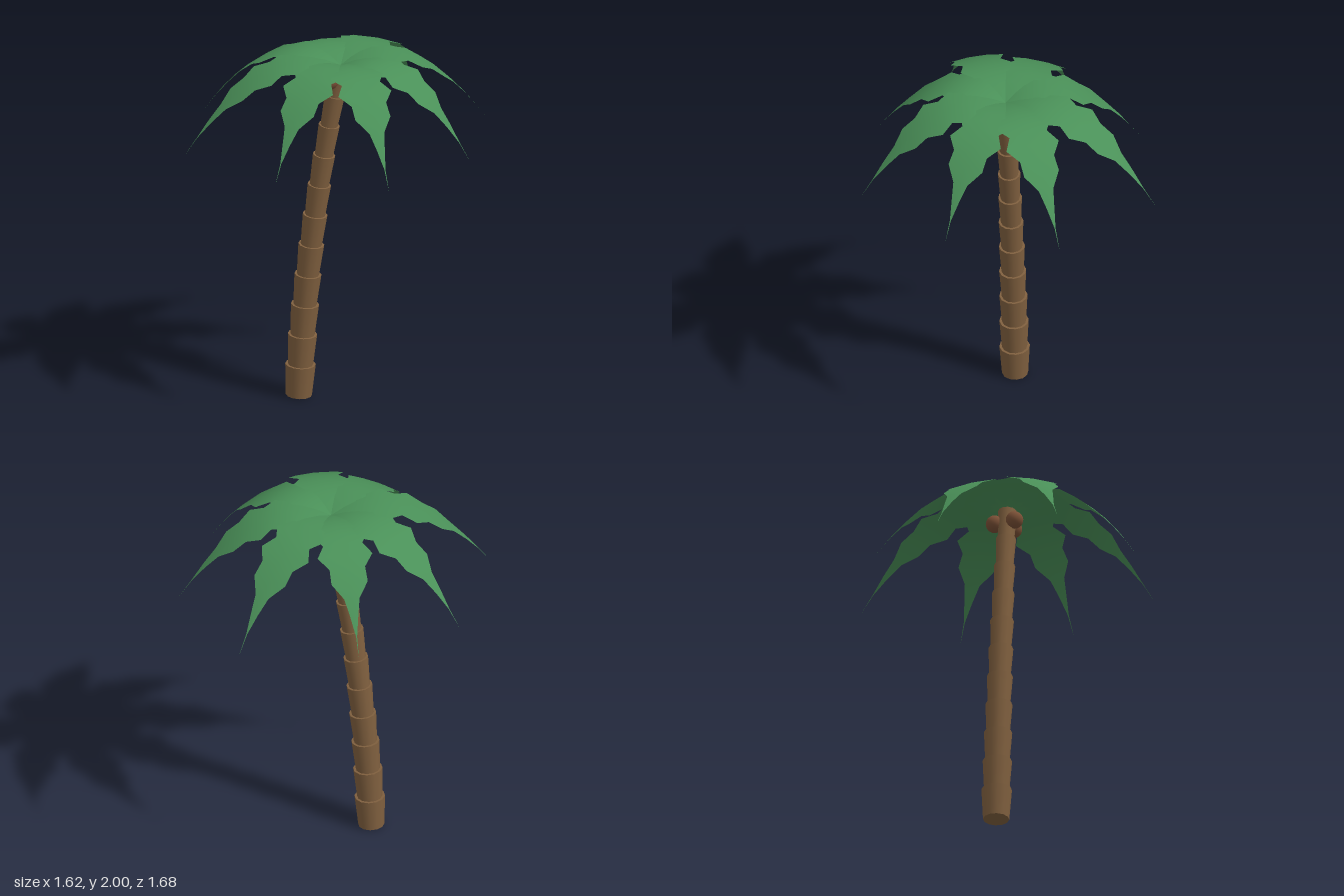
import * as THREE from 'three';

const material = (name, color, extra = {}) =>
  Object.assign(new THREE.MeshStandardMaterial({ color, ...extra }), { name });

// Leaning trunk axis, s from 0 (ground) to 1 (crown)
const trunkPoint = (s) => new THREE.Vector3(
  -0.202 + 0.229 * (0.38 * s + 0.62 * s * s),
  0.007 + 1.935 * s,
  0.102 - 0.049 * (0.2 * s + 0.8 * s * s)
);

// Half widths of a toothed frond from stem to tip
const HALF_WIDTHS = [0.02, 0.065, 0.125, 0.105, 0.15, 0.108, 0.151, 0.098, 0.1, 0.042, 0.022, 0.003, 0];

// Arched frond along +x with a slightly folded midrib
function frondGeometry(length) {
  const positions = [], index = [];
  const last = HALF_WIDTHS.length - 1;
  HALF_WIDTHS.forEach((w, i) => {
    const t = i / last;
    const y = -0.844 * (t - 0.25) ** 2;
    for (const side of [-1, 0, 1]) {
      positions.push(t * length, y - Math.abs(side) * w * 0.07, side * w);
    }
    if (i === last) return;
    for (let c = 0; c < 2; c++) {
      const a = i * 3 + c, b = a + 3;
      index.push(a, a + 1, b, b, a + 1, b + 1);
    }
  });
  const geometry = new THREE.BufferGeometry();
  geometry.setAttribute('position', new THREE.Float32BufferAttribute(positions, 3));
  geometry.setIndex(index);
  geometry.computeVertexNormals();
  return geometry;
}

export function createModel() {
  const model = new THREE.Group();
  model.name = 'palmTree';
  const bark = material('bark brown', 0x80603f);
  const leaf = material('leaf green', 0x4a9058, { side: THREE.DoubleSide });
  const nut = material('coconut brown', 0x7a5036);

  // Trunk: stacked segments, each flaring toward its top
  const trunk = new THREE.Group();
  trunk.name = 'trunk';
  const count = 11;
  const up = new THREE.Vector3(0, 1, 0);
  for (let k = 0; k < count; k++) {
    const a = trunkPoint(k / count), b = trunkPoint((k + 1) / count);
    const axis = b.clone().sub(a);
    const top = 0.083 - 0.0031 * k;
    const segment = new THREE.Mesh(
      new THREE.CylinderGeometry(top, top * 0.86, axis.length() + 0.004, 12), bark);
    segment.name = 'trunkSegment';
    segment.position.copy(a).add(b).multiplyScalar(0.5);
    segment.quaternion.setFromUnitVectors(up, axis.normalize());
    trunk.add(segment);
  }
  model.add(trunk);

  // Crown: eight fronds cycling through three lengths
  const crown = new THREE.Group();
  crown.name = 'crown';
  crown.position.set(0.027, 2, 0.053);
  const frondShapes = [0.784, 0.838, 0.892].map(frondGeometry);
  for (let i = 0; i < 8; i++) {
    const frond = new THREE.Mesh(frondShapes[i % 3], leaf);
    frond.name = 'frond';
    frond.rotation.y = (i * Math.PI) / 4;
    crown.add(frond);
  }

  // Coconuts clustered under the fronds
  const nutShape = new THREE.SphereGeometry(0.048, 16, 12);
  for (let i = 0; i < 3; i++) {
    const angle = (i * Math.PI * 2) / 3;
    const coconut = new THREE.Mesh(nutShape, nut);
    coconut.name = 'coconut';
    coconut.position.set(Math.cos(angle) * 0.07, -0.13, Math.sin(angle) * 0.07);
    crown.add(coconut);
  }
  model.add(crown);
  return model;
}
